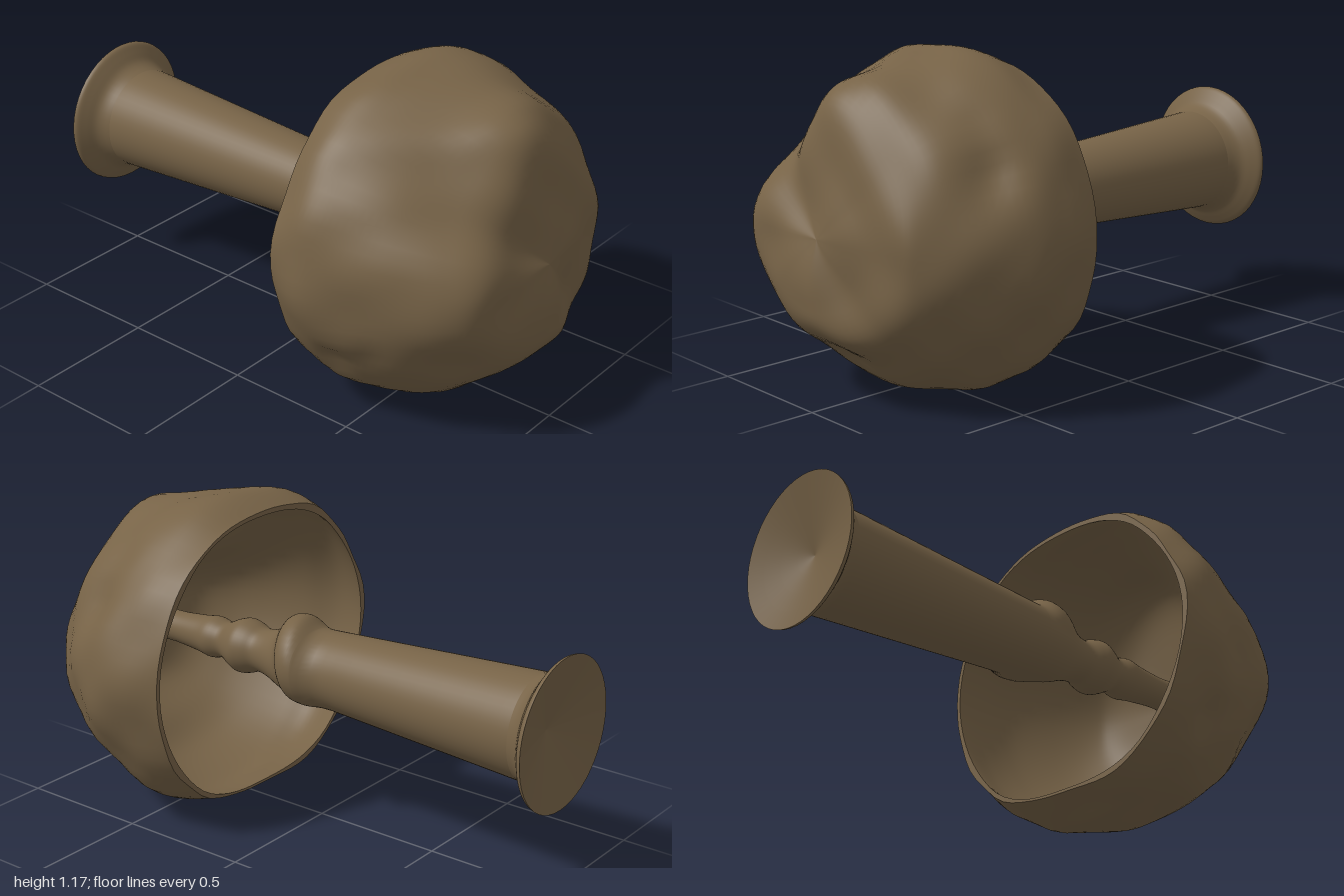
import * as THREE from 'three';

const brown = new THREE.MeshStandardMaterial({ color: 0x776347 });
brown.name = 'brown';

// Skin wrapped around the x axis: point(angle, v) with angle 0 = up, PI/2 = front
function skin(point, around, along, inward = false) {
  const pos = [], idx = [];
  for (let j = 0; j <= along; j++)
    for (let i = 0; i < around; i++)
      pos.push(...point((i / around) * Math.PI * 2, j / along));
  for (let j = 0; j < along; j++)
    for (let i = 0; i < around; i++) {
      const a = j * around + i, b = j * around + (i + 1) % around;
      const c = a + around, d = b + around;
      if (inward) idx.push(a, c, b, b, c, d);
      else idx.push(a, b, c, b, d, c);
    }
  const g = new THREE.BufferGeometry();
  g.setAttribute('position', new THREE.Float32BufferAttribute(pos, 3));
  g.setIndex(idx);
  g.computeVertexNormals();
  return g;
}

function mesh(name, geometry) {
  const m = new THREE.Mesh(geometry, brown);
  m.name = name;
  return m;
}

// Smooth curve through a list of [x, radius] pairs
const curve = (list) => new THREE.SplineCurve(list.map(([x, r]) => new THREE.Vector2(x, r)));

// Cap outlines [x, radius] every 45 degrees: up, up-front, front, ... up-back
const capOutlines = [
  [[.26, .54], [.38, .59], [.5, .575], [.66, .53], [.8, .5], [.88, .41], [.93, .2], [.965, 0]],
  [[.26, .57], [.36, .605], [.47, .58], [.62, .51], [.76, .41], [.87, .31], [.93, .18], [.965, 0]],
  [[.26, .6], [.4, .63], [.55, .595], [.72, .545], [.86, .47], [.955, .36], [.98, .18], [.965, 0]],
  [[.26, .58], [.4, .63], [.52, .61], [.68, .55], [.82, .47], [.94, .36], [.985, .2], [.965, 0]],
  [[.26, .53], [.36, .56], [.47, .59], [.7, .54], [.84, .43], [.98, .31], [.995, .2], [.965, 0]],
  [[.26, .59], [.4, .63], [.55, .62], [.7, .56], [.82, .47], [.91, .36], [.95, .2], [.965, 0]],
  [[.26, .6], [.4, .625], [.55, .625], [.73, .54], [.87, .44], [.92, .36], [.945, .2], [.965, 0]],
  [[.26, .58], [.4, .61], [.55, .59], [.7, .53], [.81, .45], [.89, .34], [.935, .18], [.965, 0]],
].map(curve);

// Dents: x, y, z, size, depth
const dents = [
  [.42, .62, .6, .1, .015], [.62, .3, .55, .08, .03], [.46, .25, .52, .08, .03],
  [.62, .85, -.48, .09, .03], [.6, .05, .15, .08, .015], [.6, 1.0, -.4, .09, .025],
];

// Smooth cap surface blended between neighbouring outlines
function capBase(a, v) {
  const q = (a / Math.PI) * 4, i = Math.floor(q), f = q - i;
  const k = f * f * (3 - 2 * f);
  const { x, y: r } = capOutlines[i % 8].getPoint(v).lerp(capOutlines[(i + 1) % 8].getPoint(v), k);
  return [x, .59 + r * Math.cos(a), r * Math.sin(a)];
}

// Broad lumps and local dents, pushed along the ray from the cap centre
function capPoint(a, v) {
  const [x, y, z] = capBase(a, v);
  let d = .008 * Math.sin(11 * y + 5 * z + 3 * x) * Math.sin(9 * z - 7 * x + 1)
    + .006 * Math.sin(17 * x + 13 * z) * Math.sin(19 * y + 2 - 6 * z);
  for (const [dx, dy, dz, size, depth] of dents)
    d -= depth * Math.exp(-((x - dx) ** 2 + (y - dy) ** 2 + (z - dz) ** 2) / (size * size));
  const s = 1 + d / .6;
  return [.26 + (x - .26) * s, .59 + (y - .59) * s, z * s];
}

// Hollow underside: a smooth shell just inside the cap
function hollowPoint(a, v) {
  const [x, y, z] = capBase(a, v);
  const s = .97 - .03 * Math.min(1, v * 4);
  return [.26 + (x - .26) * .94, .59 + (y - .59) * s, z * s];
}

// Stem profile [x, radius] from the flared foot to the inside of the cap
const stemProfile = curve([
  [-1, .278], [-.985, .272], [-.965, .245], [-.94, .212], [-.9, .193], [-.85, .189],
  [-.5, .169], [-.2, .152], [0, .141], [.03, .139], [.06, .137], [.09, .134], [.12, .13],
  [.15, .123], [.18, .113], [.22, .098], [.26, .087], [.3, .084], [.34, .098], [.38, .105],
  [.42, .092], [.47, .07], [.53, .08], [.6, .07], [.75, .06], [.91, .08],
]);

// A slanting knuckle swells the upper rear side of the stem
function stemPoint(a, v) {
  const { x, y: r } = stemProfile.getPoint(v);
  const lump = .065 * Math.max(0, .35 + .65 * Math.cos(a + Math.PI / 4));
  const middle = .085 + .03 * Math.cos(a) + .035 * Math.sin(a);
  const w = r + lump * Math.exp(-(Math.abs((x - middle) / .07) ** 3));
  return [x, .578 + w * Math.cos(a), .027 + w * Math.sin(a)];
}

// Shallow dished end of the foot
function footPoint(a, v) {
  const r = .278 * (1 - v);
  return [-1 + .07 * v, .578 + r * Math.cos(a), .027 + r * Math.sin(a)];
}

export function createModel() {
  const model = new THREE.Group();
  model.name = 'mushroom';

  const cap = new THREE.Group();
  cap.name = 'cap';
  cap.add(mesh('capOutside', skin(capPoint, 72, 42)));
  cap.add(mesh('capHollow', skin(hollowPoint, 72, 42, true)));
  cap.add(mesh('capRim', skin((a, v) => (v ? capPoint(a, 0) : hollowPoint(a, 0)), 72, 1)));
  model.add(cap);

  const stem = new THREE.Group();
  stem.name = 'stem';
  stem.add(mesh('stemShaft', skin(stemPoint, 48, 100)));
  stem.add(mesh('stemFoot', skin(footPoint, 48, 4, true)));
  model.add(stem);

  return model;
}
